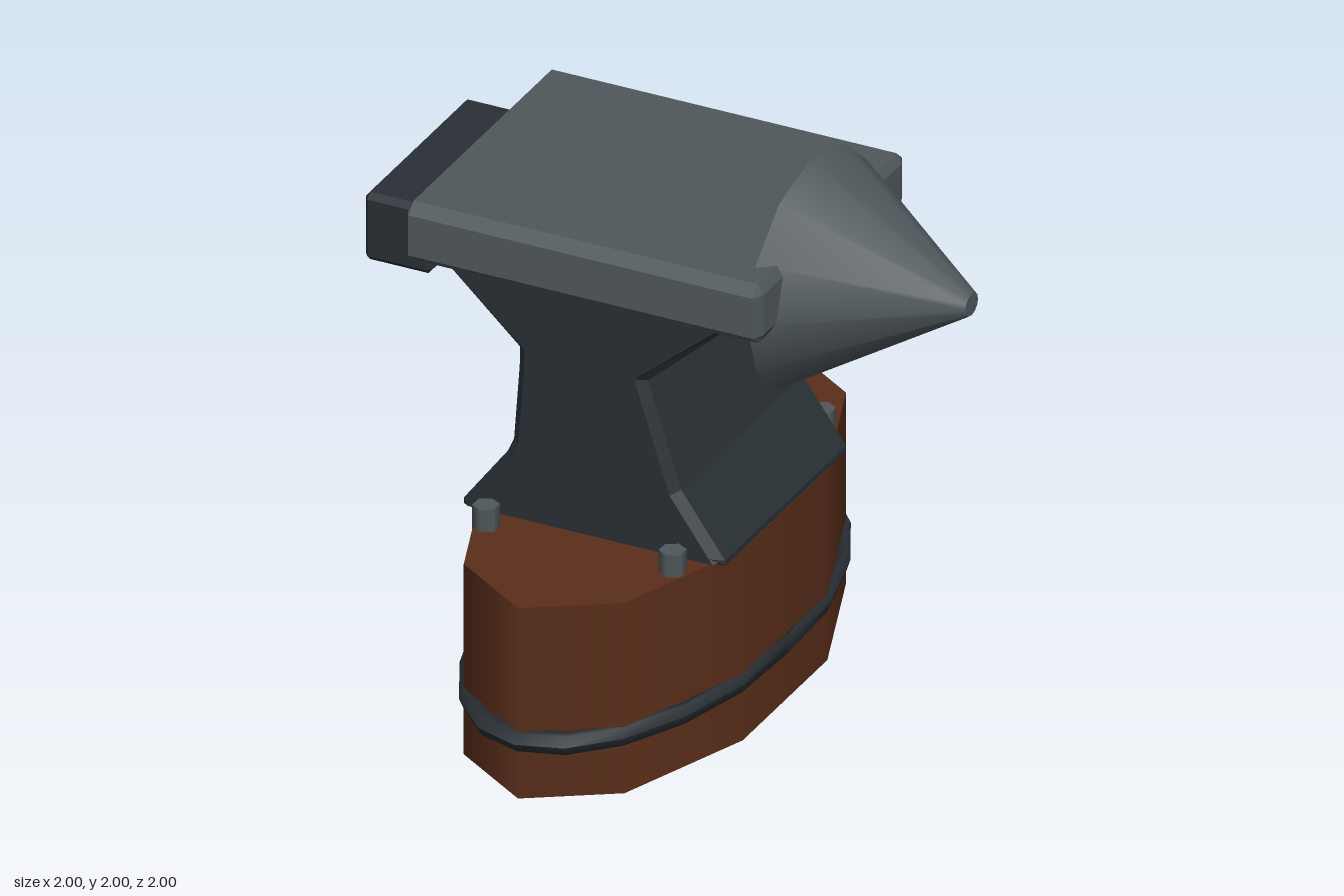
import * as THREE from 'three';
import { ConvexGeometry } from 'three/addons/geometries/ConvexGeometry.js';
import { toCreasedNormals } from 'three/addons/utils/BufferGeometryUtils.js';

const CX = -0.137; // centre line of stump and body

export function createModel() {
  const model = new THREE.Group();
  const steel = new THREE.MeshStandardMaterial({ color: 0x50585c });
  const iron = new THREE.MeshStandardMaterial({ color: 0x293035 });
  const wood = new THREE.MeshStandardMaterial({ color: 0x5a2e1a });

  const add = (name, geometry, material, x = 0, y = 0, z = 0) => {
    const mesh = new THREE.Mesh(geometry, material);
    mesh.name = name;
    mesh.position.set(x, y, z);
    model.add(mesh);
    return mesh;
  };

  // Box with every edge chamfered: half sizes h, chamfers c
  const chamferBox = (h, c) => {
    const points = [];
    for (const sx of [-1, 1]) for (const sy of [-1, 1]) for (const sz of [-1, 1])
      for (let full = 0; full < 3; full++) {
        const p = h.map((v, i) => (i === full ? v : v - c[i]));
        points.push(new THREE.Vector3(p[0] * sx, p[1] * sy, p[2] * sz));
      }
    return new ConvexGeometry(points);
  };

  // Oval ten-sided wooden stump
  const stump = new THREE.CylinderGeometry(1, 1, 0.695, 10);
  stump.scale(0.491, 1, 0.972);
  add('stump', stump, wood, CX, 0.3475);

  // Iron band, flattened along the stump's long sides
  const band = new THREE.TorusGeometry(0.962, 0.038, 6, 20);
  band.rotateX(Math.PI / 2);
  const pos = band.attributes.position;
  for (let i = 0; i < pos.count; i++)
    pos.setX(i, THREE.MathUtils.clamp(pos.getX(i) * 0.5, -0.479, 0.479));
  band.computeVertexNormals();
  add('stumpBand', band, iron, CX, 0.21);

  // Waisted body, extruded with a bevel
  const profile = new THREE.Shape([
    [-0.605, 0.7], [0.332, 0.7], [0.332, 0.72], [0.175, 0.94], [0.075, 1.25], [0.055, 1.31],
    [0.38, 1.6], [-0.695, 1.6], [-0.403, 1.32], [-0.405, 1.25], [-0.425, 0.98], [-0.447, 0.93],
    [-0.605, 0.72],
  ].map(([x, y]) => new THREE.Vector2(x, y)));
  const body = new THREE.ExtrudeGeometry(profile, {
    depth: 0.86, bevelEnabled: true, bevelSegments: 1,
    bevelSize: 0.03, bevelThickness: 0.03, bevelOffset: -0.03,
  });
  body.translate(0, 0, -0.43);
  add('body', body, iron);

  // Striking face and heel
  add('faceplate', chamferBox([0.638, 0.108, 0.53], [0.02, 0.035, 0.04]), steel, -0.137, 1.688);
  add('heel', chamferBox([0.12, 0.123, 0.365], [0.015, 0.02, 0.02]), iron, -0.88, 1.578);

  // Horn: twelve-sided oval cone with a blunt tip
  const horn = new THREE.CylinderGeometry(0.1, 1, 0.575, 12);
  horn.rotateZ(-Math.PI / 2);
  horn.scale(1, 0.39, 0.455);
  add('horn', toCreasedNormals(horn, 0.9), steel, 0.7125, 1.61);

  // Hexagonal foot bolts
  for (const x of [-0.475, 0.195]) for (const z of [-0.53, 0.53])
    add('footBolt', new THREE.CylinderGeometry(0.045, 0.045, 0.09, 6), steel, x, 0.73, z);

  return model;
}
